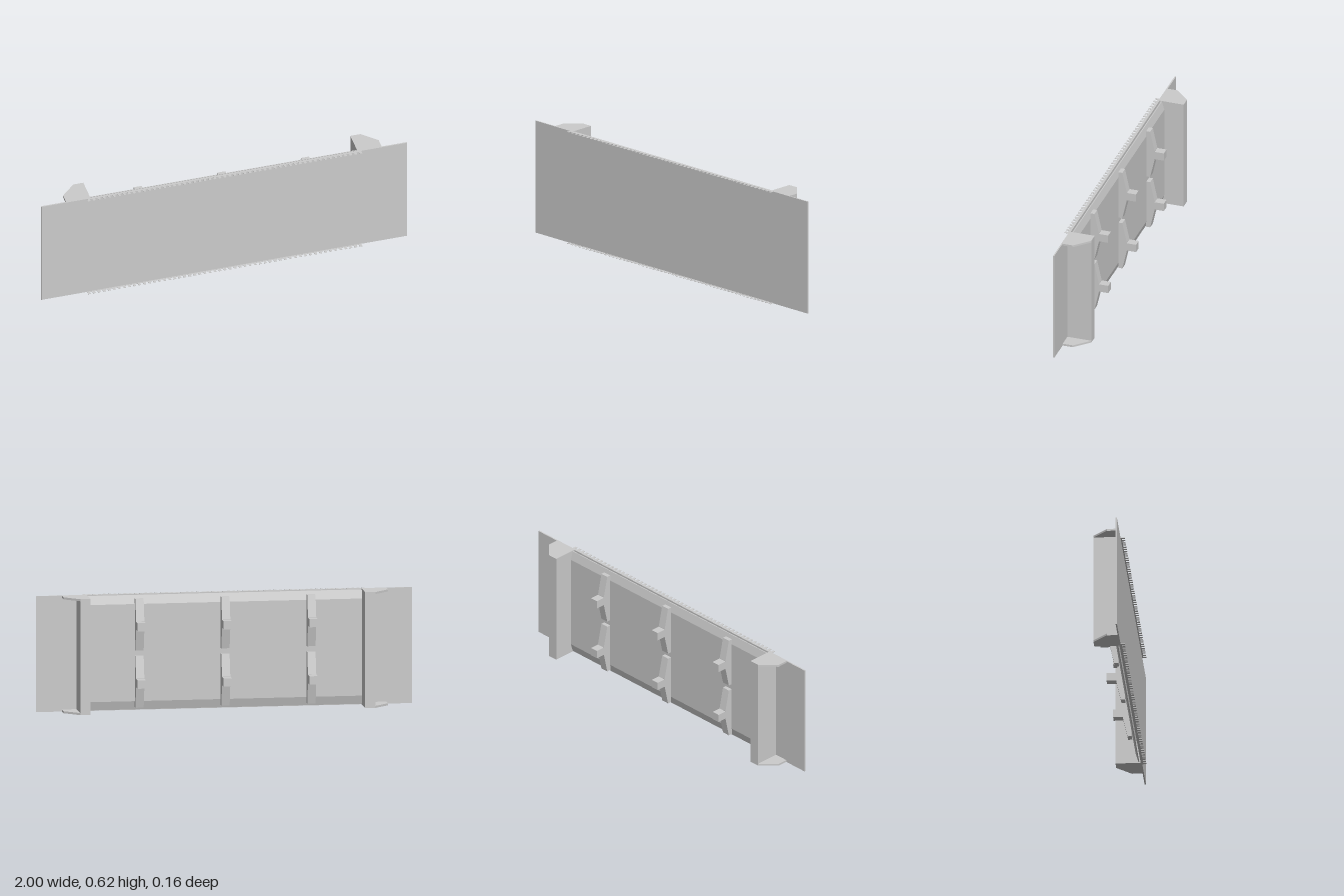
import * as THREE from 'three';

const grey = new THREE.MeshStandardMaterial({ color: 0xcccccc, flatShading: true, side: THREE.DoubleSide });
const H = 0.617;

function add(parent, name, geometry) {
  const mesh = new THREE.Mesh(geometry, grey);
  mesh.name = name;
  parent.add(mesh);
  return mesh;
}

// Box given by its minimum and maximum corners
function box(parent, name, x0, x1, y0, y1, z0, z1) {
  const mesh = add(parent, name, new THREE.BoxGeometry(x1 - x0, y1 - y0, z1 - z0));
  mesh.position.set((x0 + x1) / 2, (y0 + y1) / 2, (z0 + z1) / 2);
  return mesh;
}

function extrude(points, depth) {
  const shape = new THREE.Shape(points.map(([a, b]) => new THREE.Vector2(a, b)));
  return new THREE.ExtrudeGeometry(shape, { depth, bevelEnabled: false });
}

// Extrudes a (z, y) outline along x, centred on x
function sideProfile(parent, name, points, x, width) {
  const geometry = extrude(points.map(([z, y]) => [-z, y]), width);
  geometry.translate(0, 0, -width / 2).rotateY(Math.PI / 2);
  // rotateY sends the outline's first axis to -z
  const mesh = add(parent, name, geometry);
  mesh.position.x = x;
  return mesh;
}

export function createModel() {
  const model = new THREE.Group();
  model.name = 'panel';

  // Thin front sheet
  box(model, 'frontSheet', -1, 1, 0, H, 0.052, 0.059);

  // Backing sheet with its long edges bent towards the front
  sideProfile(model, 'backingSheet', [
    [0.04, 0.004], [0.026, 0.05], [0.026, H - 0.05], [0.04, H - 0.004],
    [0.045, H - 0.004], [0.031, H - 0.05], [0.031, 0.05], [0.045, 0.004],
  ], 0, 1.56);

  // Toothed lips along the top and bottom front edges
  for (const [name, y] of [['topLip', H - 0.002], ['bottomLip', 0]]) {
    const lip = new THREE.Group();
    lip.name = name;
    model.add(lip);
    box(lip, 'lipStrip', -0.75, 0.75, y, y + 0.002, 0.058, 0.065);
    const pitch = 0.0275;
    for (let i = -27; i <= 27; i++) {
      const x = i * pitch;
      box(lip, 'lipTooth', x - pitch / 4, x + pitch / 4, y, y + 0.002, 0.064, 0.081);
    }
  }

  // End posts with a chamfered cap at top and bottom
  for (const side of [-1, 1]) {
    const post = new THREE.Group();
    post.name = side > 0 ? 'leftPost' : 'rightPost';
    model.add(post);
    const column = box(post, 'postColumn', -0.0275, 0.0275, 0.011, H - 0.011, -0.081, 0.052);
    column.position.x = side * 0.7575;
    for (const y of [0, H - 0.011]) {
      const outline = [[0.73, -0.081], [0.785, -0.081], [0.863, -0.004], [0.863, 0.052], [0.73, 0.052]];
      const geometry = extrude(outline.map(([x, z]) => [side * x, -z]), 0.011);
      geometry.rotateX(-Math.PI / 2);
      add(post, 'postCap', geometry).position.y = y;
    }
  }

  // Two rows of three tapered brackets, each with a square peg
  for (const y of [0.155, 0.46]) {
    for (const x of [-0.457, 0, 0.457]) {
      const bracket = new THREE.Group();
      bracket.name = 'bracket';
      bracket.position.set(x, y, 0);
      model.add(bracket);
      sideProfile(bracket, 'bracketArm', [
        [0.027, -0.137], [0.005, -0.137], [-0.02, -0.024], [-0.02, 0.022], [0.005, 0.137], [0.027, 0.137],
      ], 0, 0.044);
      box(bracket, 'bracketPeg', -0.022, 0.022, -0.024, 0.02, -0.071, -0.018);
    }
  }

  return model;
}
